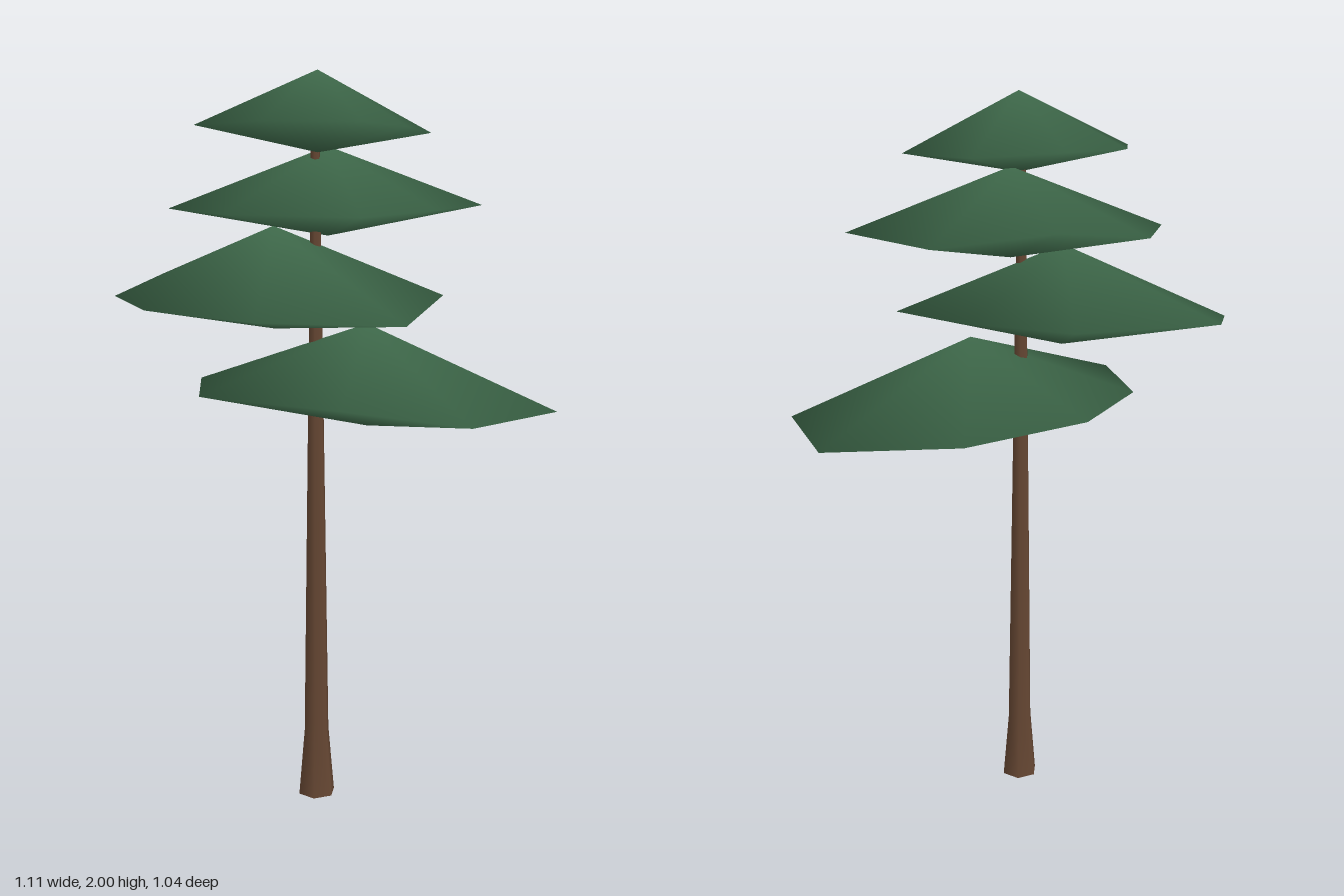
import * as THREE from 'three';

const needleGreen = new THREE.MeshStandardMaterial({ name: 'needleGreen', color: 0x3f6a4b });
const barkBrown = new THREE.MeshStandardMaterial({ name: 'barkBrown', color: 0x664733 });

// Each tier: centre [x, z], apex and underside heights, and an eight-point rim of [x, y, z]
const TIERS = [
  { centre: [0.05, 0.115], top: 1.342, bottom: 1.066, rim: [
    [0.55, 1.114, -0.05], [0.505, 1.11, 0.345], [0.16, 1.112, 0.52], [-0.18, 1.17, 0.495],
    [-0.455, 1.187, 0.24], [-0.35, 1.19, -0.1], [-0.09, 1.185, -0.31], [0.22, 1.13, -0.222]] },
  { centre: [-0.17, -0.01], top: 1.6, bottom: 1.326, rim: [
    [0.164, 1.43, -0.128], [0.243, 1.417, 0.18], [0, 1.363, 0.47], [-0.35, 1.375, 0.362],
    [-0.555, 1.393, 0.105], [-0.555, 1.41, -0.226], [-0.34, 1.455, -0.522], [0.027, 1.45, -0.45]] },
  { centre: [-0.015, -0.005], top: 1.81, bottom: 1.573, rim: [
    [0.425, 1.655, 0.05], [0.19, 1.64, 0.245], [-0.07, 1.622, 0.36], [-0.39, 1.63, 0.247],
    [-0.44, 1.645, -0.073], [-0.26, 1.645, -0.31], [0.02, 1.675, -0.35], [0.325, 1.645, -0.27]] },
  { centre: [-0.07, 0.06], top: 2, bottom: 1.79, rim: [
    [0.27, 1.848, 0.04], [0.11, 1.85, 0.23], [-0.07, 1.85, 0.365], [-0.31, 1.85, 0.3],
    [-0.405, 1.852, 0.06], [-0.28, 1.855, -0.15], [-0.07, 1.855, -0.22], [0.19, 1.848, -0.213]] },
];

// Closed double cone around an irregular rim, with shared smooth normals
function tierGeometry({ centre: [x, z], top, bottom, rim }) {
  const n = rim.length;
  const points = [...rim, [x, top, z], [x, bottom, z]];
  const index = [];
  for (let i = 0; i < n; i++) {
    const j = (i + 1) % n;
    index.push(n, j, i, n + 1, i, j);
  }
  const geometry = new THREE.BufferGeometry();
  geometry.setAttribute('position', new THREE.Float32BufferAttribute(points.flat(), 3));
  geometry.setIndex(index);
  geometry.computeVertexNormals();
  return geometry;
}

export function createModel() {
  const model = new THREE.Group();
  model.name = 'layeredPineTree';

  // Six-sided tapering trunk with a flared foot
  const trunk = new THREE.Group();
  trunk.name = 'trunk';
  const profile = [[0.053, 0], [0.036, 0.19], [0.023, 1.08], [0.012, 1.85]];
  const stem = new THREE.Mesh(
    new THREE.LatheGeometry(profile.map(([r, y]) => new THREE.Vector2(r, y)), 6), barkBrown);
  stem.name = 'stem';
  const foot = new THREE.Mesh(new THREE.CircleGeometry(0.053, 6), barkBrown);
  foot.name = 'trunkBase';
  foot.rotation.set(Math.PI / 2, 0, Math.PI / 2);
  trunk.add(stem, foot);
  trunk.rotation.y = Math.PI / 2;
  trunk.position.set(-0.07, 0, 0.043);
  model.add(trunk);

  // Four foliage tiers, lowest first
  TIERS.forEach((tier, i) => {
    const mesh = new THREE.Mesh(tierGeometry(tier), needleGreen);
    mesh.name = `foliageTier${i + 1}`;
    model.add(mesh);
  });

  return model;
}
